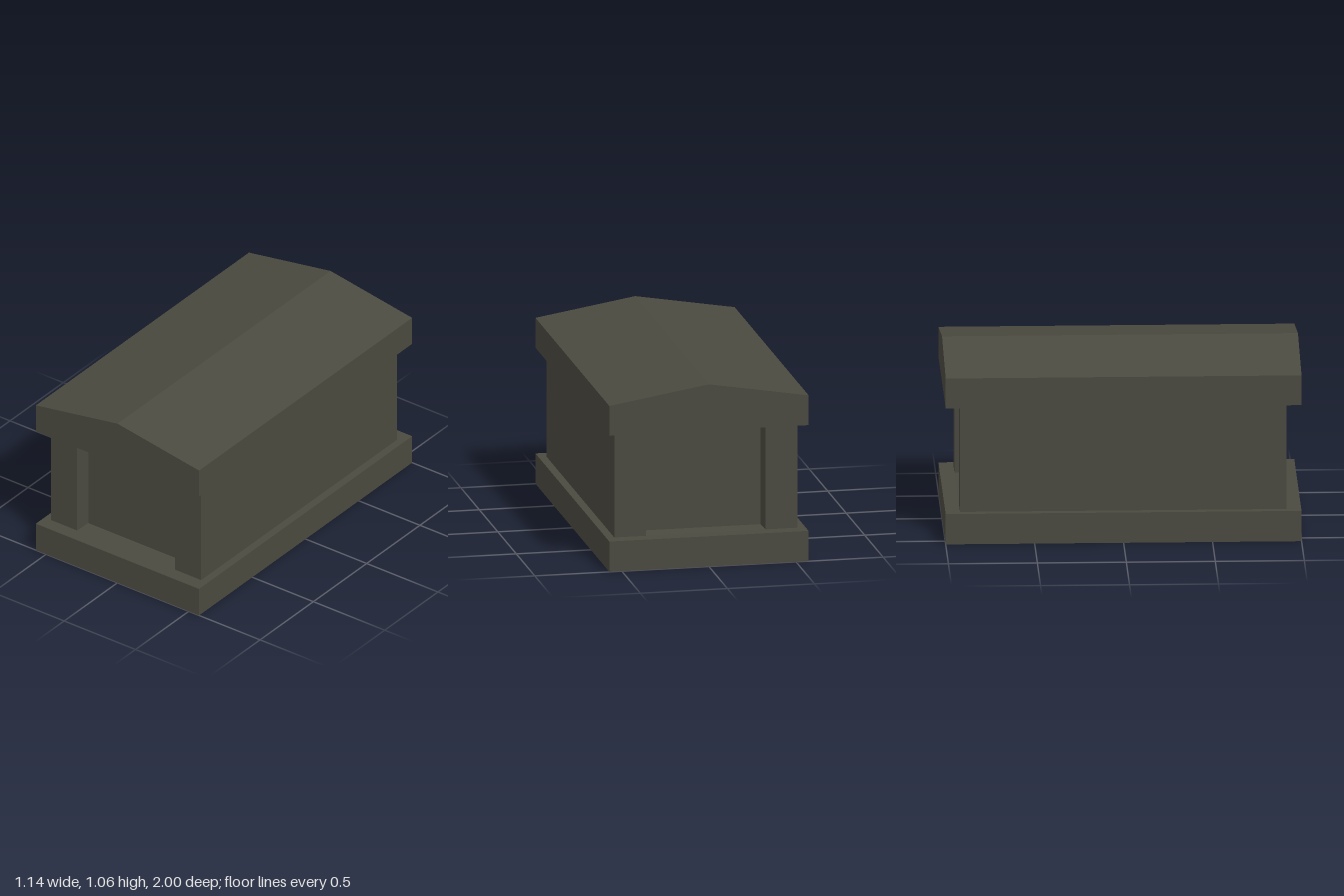
import * as THREE from 'three';

const BASE_TOP = 0.176, EAVE = 0.79, WALL_X = 0.526, WALL_Z = 0.918;
const OPEN_X = 0.343, PANEL_X = 0.333, PANEL_Z = 0.828, INSET = 0.008;

export function createModel() {
  const group = new THREE.Group();
  const stone = new THREE.MeshStandardMaterial({ color: 0x4b4a40 });
  stone.name = 'dark stone';

  const add = (name, geometry) => {
    const mesh = new THREE.Mesh(geometry, stone);
    mesh.name = name;
    group.add(mesh);
    return mesh;
  };
  const box = (name, w, y0, y1, d) =>
    add(name, new THREE.BoxGeometry(w, y1 - y0, d).translate(0, (y0 + y1) / 2, 0));
  // Straight extrusion of a profile, centred on its depth
  const prism = (points, depth) => {
    const shape = new THREE.Shape(points.map(([x, y]) => new THREE.Vector2(x, y)));
    return new THREE.ExtrudeGeometry(shape, { depth, bevelEnabled: false }).translate(0, 0, -depth / 2);
  };

  // Plinth
  box('plinth', 1.144, 0, BASE_TOP, 2);

  // Core whose ends are the recessed panels
  box('recessedPanels', 2 * PANEL_X, BASE_TOP, EAVE, 2 * PANEL_Z);

  for (const side of [1, -1]) {
    // Long side wall with slightly splayed jambs at both ends
    const plan = [
      [WALL_X, -WALL_Z], [WALL_X, WALL_Z], [OPEN_X, WALL_Z],
      [PANEL_X, PANEL_Z], [PANEL_X, -PANEL_Z], [OPEN_X, -WALL_Z],
    ].map(([x, z]) => [side * x, z]);
    add(side > 0 ? 'leftWall' : 'rightWall',
      prism(plan, EAVE - BASE_TOP).rotateX(-Math.PI / 2).translate(0, (EAVE + BASE_TOP) / 2, 0));

    // Sloping sill and lintel of each recess
    const end = side > 0 ? 'front' : 'back';
    for (const [part, y, dy] of [['Sill', BASE_TOP, INSET], ['Lintel', EAVE, -INSET]]) {
      const wedge = [[-side * WALL_Z, y], [-side * PANEL_Z, y], [-side * PANEL_Z, y + dy]];
      add(end + part, prism(wedge, 2 * OPEN_X).rotateY(Math.PI / 2));
    }
  }

  // Low gabled roof slab
  add('gabledRoof', prism(
    [[-0.572, EAVE], [0.572, EAVE], [0.572, 0.963], [0, 1.058], [-0.572, 0.963]], 2));

  return group;
}
